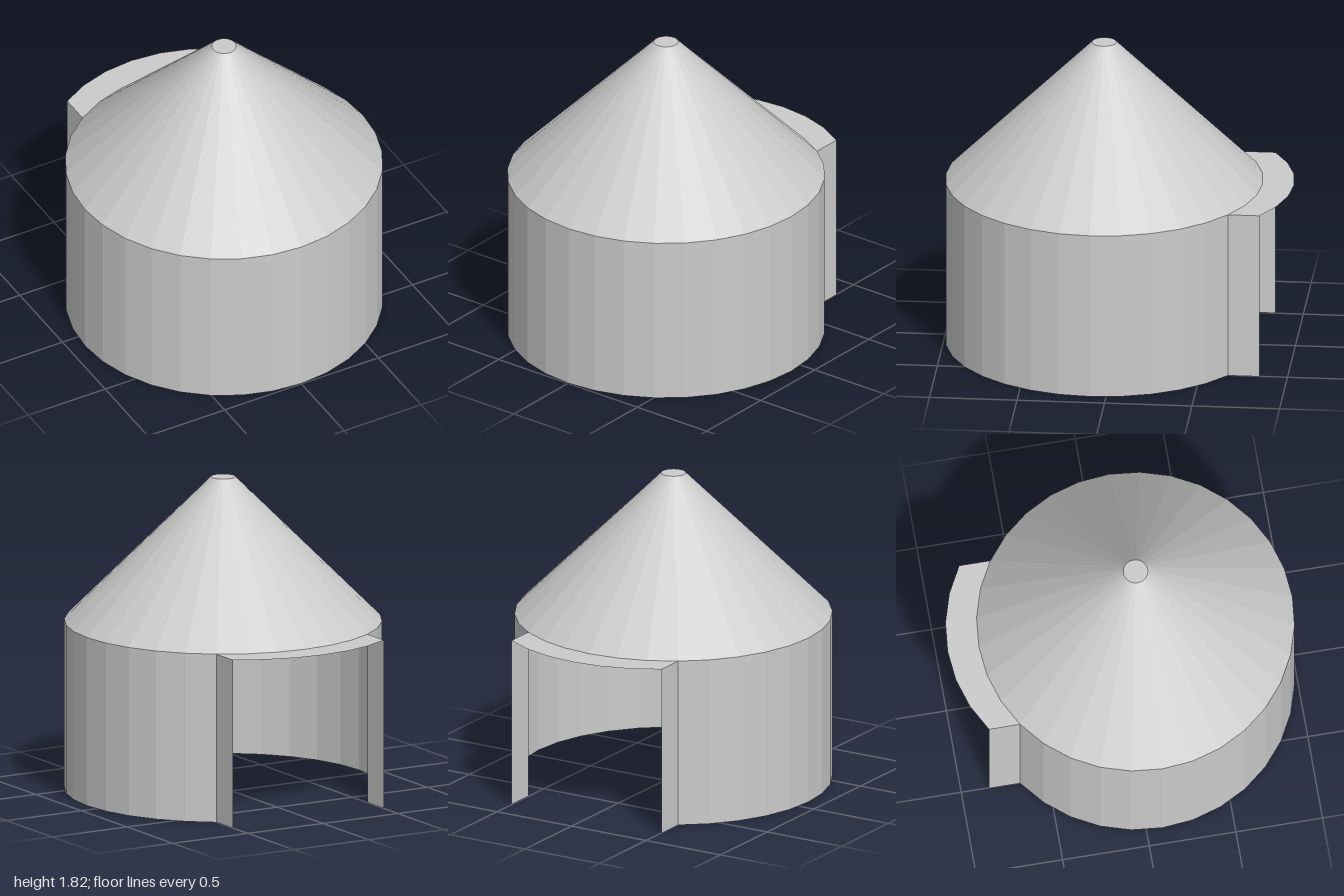
import * as THREE from 'three';

const R = 0.905, SIDES = 32, CZ = 0.092, EAVE = 0.98, TOP = 1.815, TIP = 0.07, DEPTH = 0.18;
const STEP = (Math.PI * 2) / SIDES;
const OPEN = 3; // doorway half-width, in wall facets

export function createModel() {
  const group = new THREE.Group();
  const material = new THREE.MeshStandardMaterial({ color: 0xcccccc, flatShading: true, side: THREE.DoubleSide });
  const add = (name, geometry, x, y, z) => {
    const mesh = new THREE.Mesh(geometry, material);
    mesh.name = name;
    mesh.position.set(x, y, z);
    group.add(mesh);
    return mesh;
  };

  // Round wall, open at the back for the doorway
  add('wall', new THREE.CylinderGeometry(R, R, EAVE, SIDES - 2 * OPEN, 1, true,
    Math.PI + OPEN * STEP, (SIDES - 2 * OPEN) * STEP), 0, EAVE / 2, CZ);

  // Hollow conical roof with a small flat cap
  add('roof', new THREE.CylinderGeometry(TIP, R, TOP - EAVE, SIDES, 1, true), 0, (EAVE + TOP) / 2, CZ);
  add('roofCap', new THREE.CircleGeometry(TIP, SIDES), 0, TOP, CZ).rotation.x = -Math.PI / 2;

  // Porch canopy: strip between the eave arc and the same arc moved back
  const inner = [], outer = [];
  for (let i = -OPEN; i <= OPEN; i++) {
    const x = R * Math.sin(i * STEP), y = R * Math.cos(i * STEP);
    inner.push(new THREE.Vector2(x, y));
    outer.unshift(new THREE.Vector2(x, y + DEPTH));
  }
  const canopy = new THREE.ShapeGeometry(new THREE.Shape([...inner, ...outer]));
  add('porchCanopy', canopy, 0, EAVE, CZ).rotation.x = -Math.PI / 2;

  // Porch side panels
  const px = R * Math.sin(OPEN * STEP), pz = CZ - R * Math.cos(OPEN * STEP) - DEPTH / 2;
  for (const [name, side] of [['porchPanelLeft', 1], ['porchPanelRight', -1]]) {
    add(name, new THREE.PlaneGeometry(DEPTH, EAVE), side * px, EAVE / 2, pz).rotation.y = side * Math.PI / 2;
  }
  return group;
}
